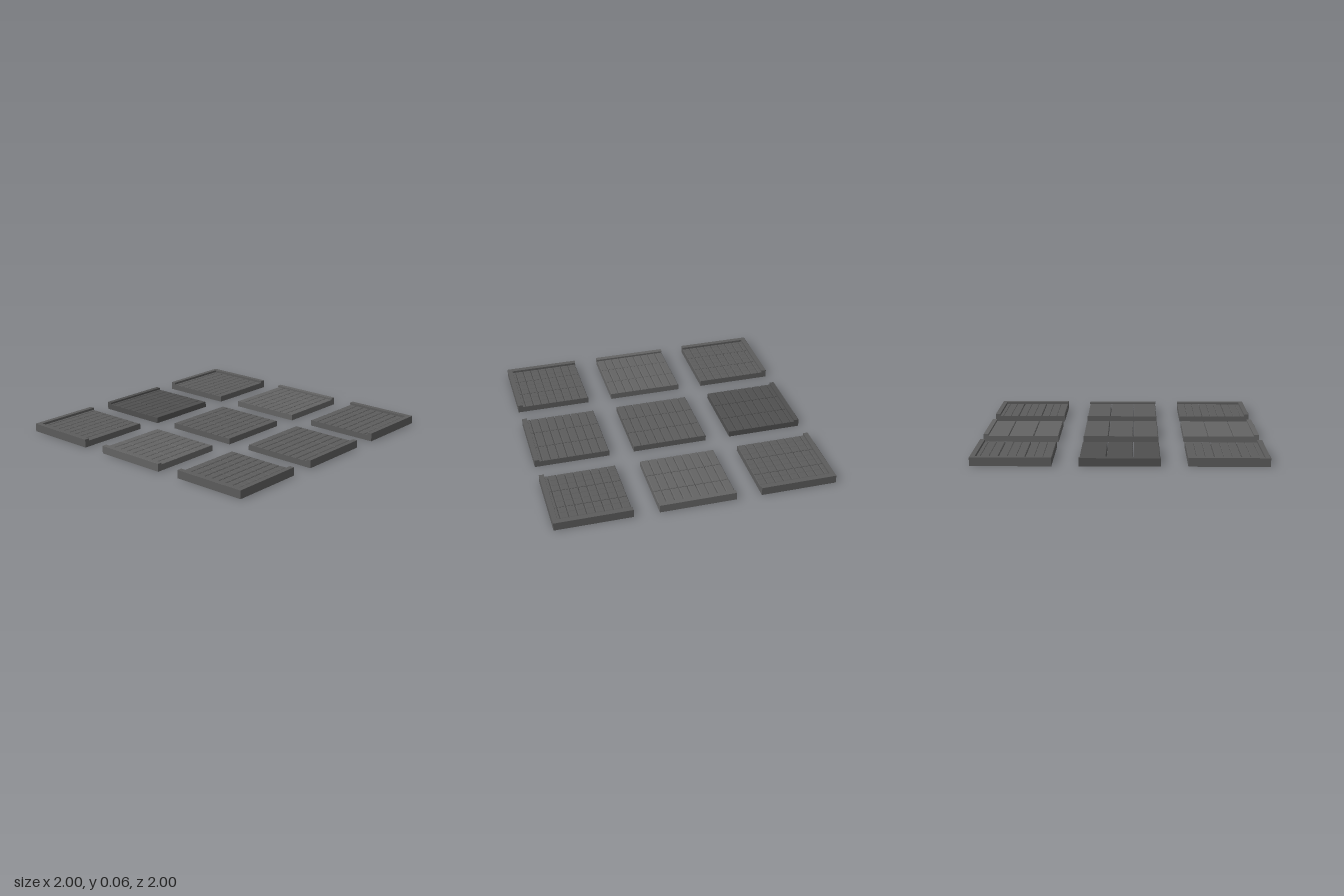
import * as THREE from 'three';
import { mergeGeometries } from 'three/addons/utils/BufferGeometryUtils.js';

const SIZE = 0.546, PITCH = 0.727, GAP = 0.005, TOP = 0.043, CURB = 0.035;

// Box standing on y = 0 whose top edges are chamfered
function block(w, h, d, bevel) {
  const g = new THREE.BoxGeometry(w, h, d, 1, 2, 1).translate(0, h / 2, 0);
  const p = g.attributes.position;
  for (let i = 0; i < p.count; i++) {
    const y = p.getY(i);
    if (y > h * 0.75) {
      p.setX(i, p.getX(i) - Math.sign(p.getX(i)) * bevel);
      p.setZ(i, p.getZ(i) - Math.sign(p.getZ(i)) * bevel);
    } else if (y > h * 0.25) p.setY(i, h - bevel);
  }
  return g;
}

// Paving of 3 by 9 bricks; each brick may be cut into touching setts
function paving(setts) {
  const parts = [];
  const w = SIZE / 3, d = SIZE / 9;
  const sw = (w - GAP) / setts;
  for (let c = 0; c < 3; c++) {
    for (let r = 0; r < 9; r++) {
      for (let s = 0; s < setts; s++) {
        const x = (c - 1) * w + (s - (setts - 1) / 2) * sw;
        parts.push(block(sw, TOP - 0.002, d - GAP, 0.004).translate(x, 0.002, (r - 4) * d));
      }
    }
  }
  return mergeGeometries(parts);
}

// Underside and four outer walls, open at the top
function tray() {
  const parts = [new THREE.PlaneGeometry(SIZE, SIZE).rotateX(Math.PI / 2)];
  for (let i = 0; i < 4; i++) {
    parts.push(new THREE.PlaneGeometry(SIZE, TOP)
      .translate(0, TOP / 2, SIZE / 2).rotateY(i * Math.PI / 2));
  }
  return mergeGeometries(parts);
}

export function createModel() {
  const model = new THREE.Group();
  model.name = 'pavingTiles';
  const material = (color) => new THREE.MeshStandardMaterial({ color, flatShading: true });
  const grey = material(0x5c5c5c), dark = material(0x4f4f4f), light = material(0x646464);
  const brickGeometry = paving(1), settGeometry = paving(3), trayGeometry = tray();

  for (const ix of [-1, 0, 1]) {
    for (const iz of [-1, 0, 1]) {
      const corner = ix !== 0 && iz !== 0;
      const mat = ix === 0 && iz === -1 ? dark : ix !== 0 && iz === 0 ? light : grey;
      const tile = new THREE.Group();
      tile.name = corner ? 'cornerTile' : ix || iz ? 'edgeTile' : 'centreTile';
      tile.position.set(ix * PITCH, 0, iz * PITCH);
      const add = (name, geometry) => {
        const mesh = new THREE.Mesh(geometry, mat);
        mesh.name = name;
        tile.add(mesh);
        return mesh;
      };
      add('tray', trayGeometry);
      add('paving', corner ? settGeometry : brickGeometry);

      // Raised curbs along the outer sides only
      const rise = (corner ? 0.06 : 0.057) - TOP;
      const edge = (SIZE - CURB) / 2;
      if (ix) add('sideCurb', block(CURB, rise, SIZE, 0.001)).position.set(ix * edge, TOP, 0);
      if (iz) {
        const length = corner ? SIZE - CURB : SIZE;
        add('endCurb', block(length, rise, CURB, 0.001))
          .position.set(-ix * CURB / 2, TOP, iz * edge);
      }
      model.add(tile);
    }
  }
  return model;
}
